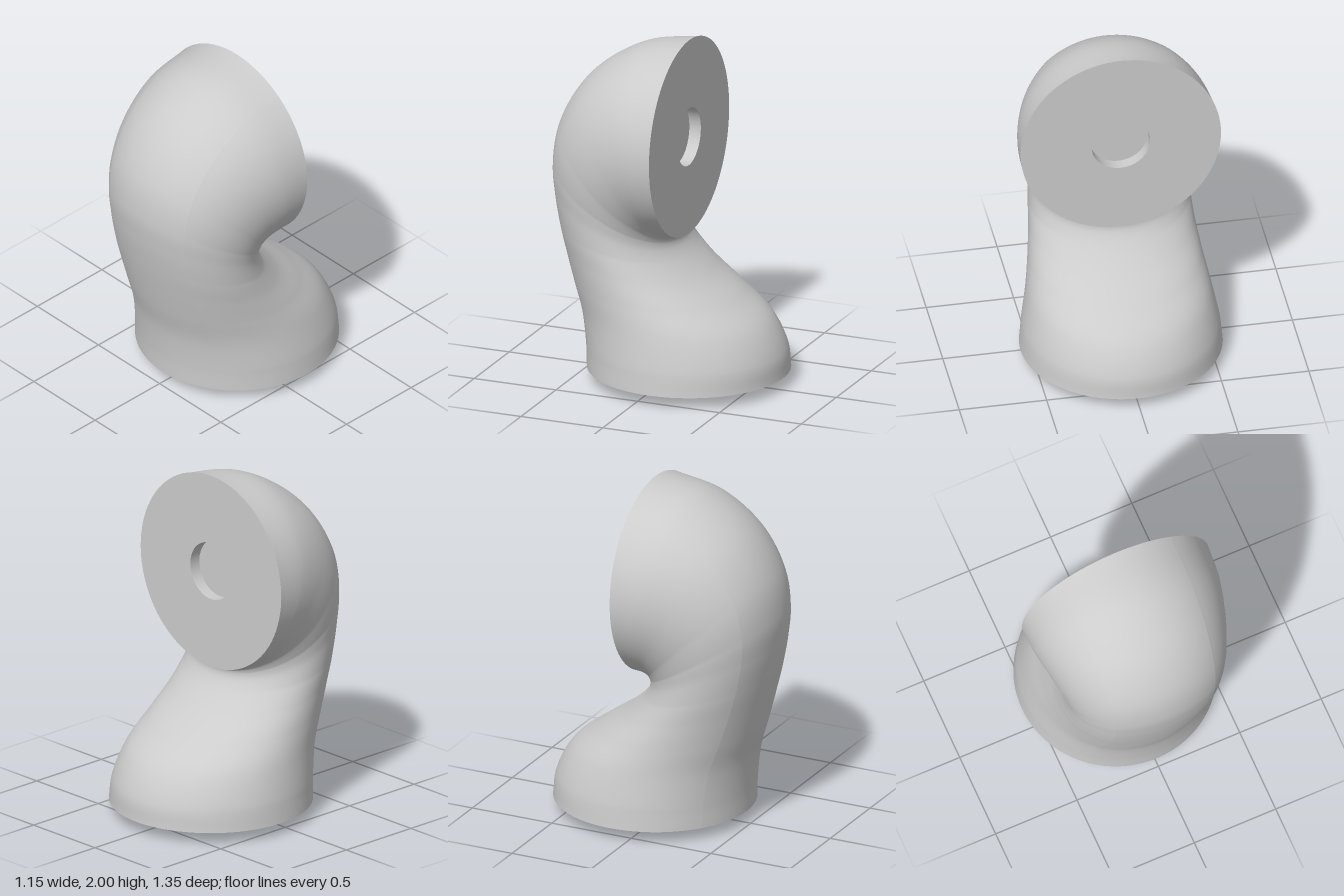
import * as THREE from 'three';

const R = 0.573, PEG = 0.168, BASE = 0.07, ZC = -0.1, TOP = 1.428;
const material = new THREE.MeshStandardMaterial({ color: 0xcccccc });

// Cross-sections up the bend: outer z, y, inner z, y, half-width, crease strength
const sections = [
  [0.475, 0.07, -0.675, 0.07, 0.573, 0],
  [0.48, 0.2, -0.66, 0.2, 0.56, 0.1],
  [0.505, 0.4, -0.57, 0.37, 0.524, 0.4],
  [0.553, 0.58, -0.40, 0.505, 0.492, 0.7],
  [0.597, 0.76, -0.23, 0.625, 0.47, 0.9],
  [0.632, 0.92, -0.11, 0.74, 0.459, 1],
  [0.663, 1.1, -0.07, 0.80, 0.457, 1],
  [0.675, 1.28, -0.063, 0.828, 0.465, 1],
  [0.63, 1.51, -0.065, 0.843, 0.49, 0.9],
  [0.47, 1.76, -0.073, 0.851, 0.527, 0.6],
  [0.2, 1.94, -0.086, 0.855, 0.562, 0.2],
  [-0.1, 2.0, -0.1, 0.856, 0.573, 0],
];
const curve = (pick) => new THREE.CatmullRomCurve3(sections.map(pick));
const outer = curve((s) => new THREE.Vector3(0, s[1], s[0]));
const inner = curve((s) => new THREE.Vector3(0, s[3], s[2]));
const shape = curve((s) => new THREE.Vector3(s[4], s[5], 0));

// Angle of the soft crease between the front face and the sides
const creaseAngle = (k) => THREE.MathUtils.degToRad(36.4 + 4.6 * k);

// Offsets across and along a section, as fractions of its half-sizes
function frontProfile(u, k) {
  const p = creaseAngle(k), a = (2 * u - 1) * p;
  const edge = Math.cos(p) * (1 + 0.05 * k);
  return [Math.sin(a), 1 - (1 - edge) * (1 - Math.cos(a)) / (1 - Math.cos(p))];
}
function backProfile(u, k) {
  const p = creaseAngle(k), a = p + u * (2 * Math.PI - 2 * p);
  const c = Math.cos(a);
  return [Math.sin(a), c > 0 ? c * (1 + 0.05 * k) : c];
}

// Skin one profile over all the sections
function loft(profile, across, steps = 110) {
  const pos = [], index = [];
  for (let i = 0; i <= steps; i++) {
    const o = outer.getPoint(i / steps), n = inner.getPoint(i / steps);
    const s = shape.getPoint(i / steps);
    const mid = o.clone().add(n).multiplyScalar(0.5);
    const half = o.clone().sub(mid);
    for (let j = 0; j <= across; j++) {
      const [x, d] = profile(j / across, s.y);
      pos.push(x * s.x, mid.y + half.y * d, mid.z + half.z * d);
      if (i < steps && j < across) {
        const a = i * (across + 1) + j, c = a + across + 1;
        index.push(a, a + 1, c, a + 1, c + 1, c);
      }
    }
  }
  const g = new THREE.BufferGeometry();
  g.setAttribute('position', new THREE.Float32BufferAttribute(pos, 3));
  g.setIndex(index);
  g.computeVertexNormals();
  return g;
}

export function createModel() {
  const group = new THREE.Group();
  const add = (name, geometry, y, z, mat = material) => {
    const mesh = new THREE.Mesh(geometry, mat);
    mesh.name = name;
    mesh.position.set(0, y, z);
    group.add(mesh);
    return mesh;
  };

  // Curved body
  add('frontFace', loft(frontProfile, 32), 0, 0);
  add('sidesAndBack', loft(backProfile, 96), 0, 0);

  // Base with locating peg
  add('baseDisc', new THREE.CircleGeometry(R, 96).rotateX(Math.PI / 2), BASE, ZC);
  add('basePeg', new THREE.CylinderGeometry(PEG, PEG, BASE, 64), BASE / 2, ZC);

  // Rear joint face with matching socket
  add('jointFace', new THREE.RingGeometry(PEG, R, 96).rotateY(Math.PI), TOP, ZC);
  const inside = material.clone();
  inside.side = THREE.DoubleSide;
  add('socketWall', new THREE.CylinderGeometry(PEG, PEG, BASE, 96, 1, true).rotateX(Math.PI / 2),
    TOP, ZC + BASE / 2, inside);
  add('socketFloor', new THREE.CircleGeometry(PEG, 96).rotateY(Math.PI), TOP, ZC + BASE);

  return group;
}
